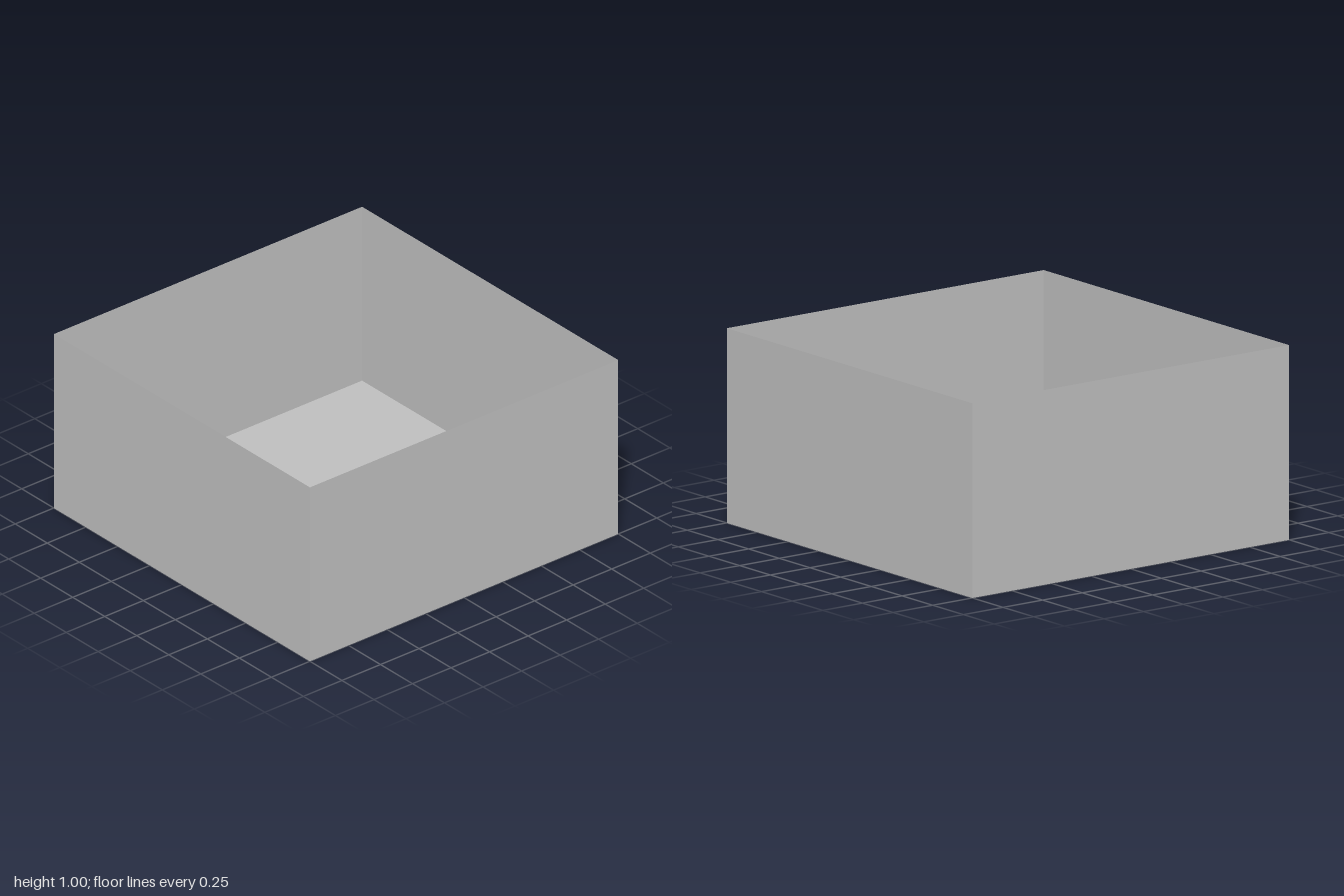
import * as THREE from 'three';

export function createModel() {
  const group = new THREE.Group();
  group.name = 'openBox';

  const grey = new THREE.MeshStandardMaterial({ color: 0xbfbfbf, side: THREE.DoubleSide });
  grey.name = 'light grey';

  // Floor: a thin square sheet with a square opening (shape y becomes -z)
  const floorShape = new THREE.Shape([[-1, -1], [1, -1], [1, 1], [-1, 1]].map(p => new THREE.Vector2(...p)));
  floorShape.holes.push(new THREE.Path([[-0.5, -0.5], [-0.5, 0], [0, 0], [0, -0.5]].map(p => new THREE.Vector2(...p))));
  const floor = new THREE.Mesh(new THREE.ShapeGeometry(floorShape).rotateX(-Math.PI / 2), grey);
  floor.name = 'floor';
  group.add(floor);

  // Four thin walls facing outwards
  ['frontWall', 'leftWall', 'backWall', 'rightWall'].forEach((name, i) => {
    const geometry = new THREE.PlaneGeometry(2, 1).translate(0, 0.5, 1).rotateY(i * Math.PI / 2);
    const wall = new THREE.Mesh(geometry, grey);
    wall.name = name;
    group.add(wall);
  });

  return group;
}
